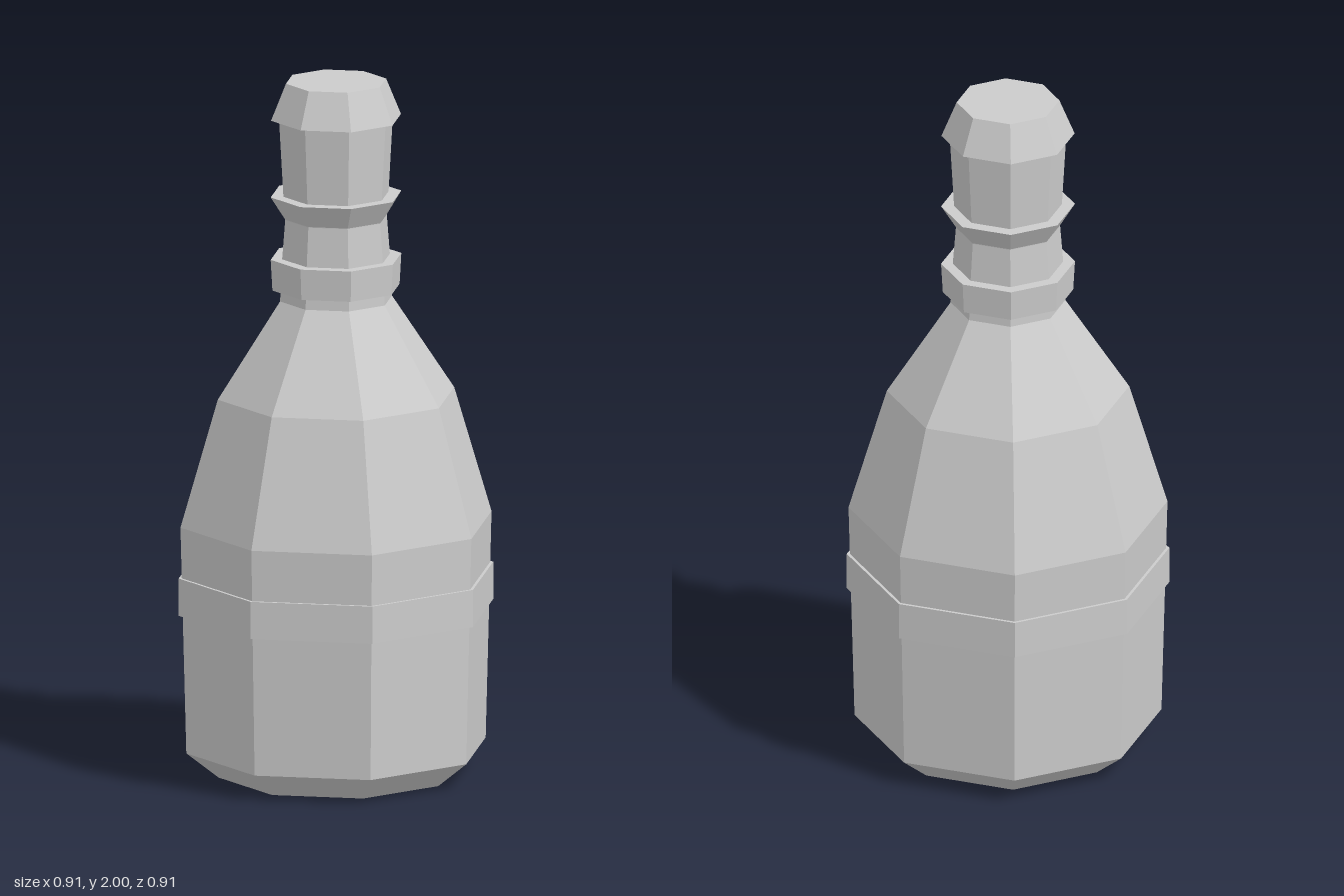
import * as THREE from 'three';

const SIDES = 8;
const material = new THREE.MeshStandardMaterial({ color: 0xcccccc, flatShading: true });

// Eight-sided turned part from [radius, height] pairs, bottom to top
function turned(name, profile) {
  const points = profile.map(([r, y]) => new THREE.Vector2(r, y));
  const mesh = new THREE.Mesh(new THREE.LatheGeometry(points, SIDES), material);
  mesh.name = name;
  return mesh;
}

export function createModel() {
  const bottle = new THREE.Group();
  bottle.name = 'bottle';
  bottle.add(
    // Chamfered base, slightly widening body, sloping shoulders
    turned('body', [
      [0, 0], [0.34, 0], [0.433, 0.075], [0.45, 0.73],
      [0.342, 1.095], [0.162, 1.37], [0.16, 1.4],
    ]),
    // Raised band around the body
    turned('bodyBand', [[0.44, 0.475], [0.455, 0.475], [0.455, 0.583], [0.44, 0.583]]),
    // Slim neck rising into the cap
    turned('neck', [[0.16, 1.4], [0.156, 1.49], [0.147, 1.605], [0.152, 1.67], [0.165, 1.9]]),
    // Raised ring at the foot of the neck
    turned('neckRing', [[0.15, 1.403], [0.184, 1.403], [0.189, 1.492], [0.15, 1.492]]),
    // Flared collar
    turned('collar', [[0.146, 1.605], [0.189, 1.673], [0.145, 1.673]]),
    // Tapered cap
    turned('cap', [[0.155, 1.895], [0.188, 1.895], [0.145, 2], [0, 2]]),
  );
  return bottle;
}
